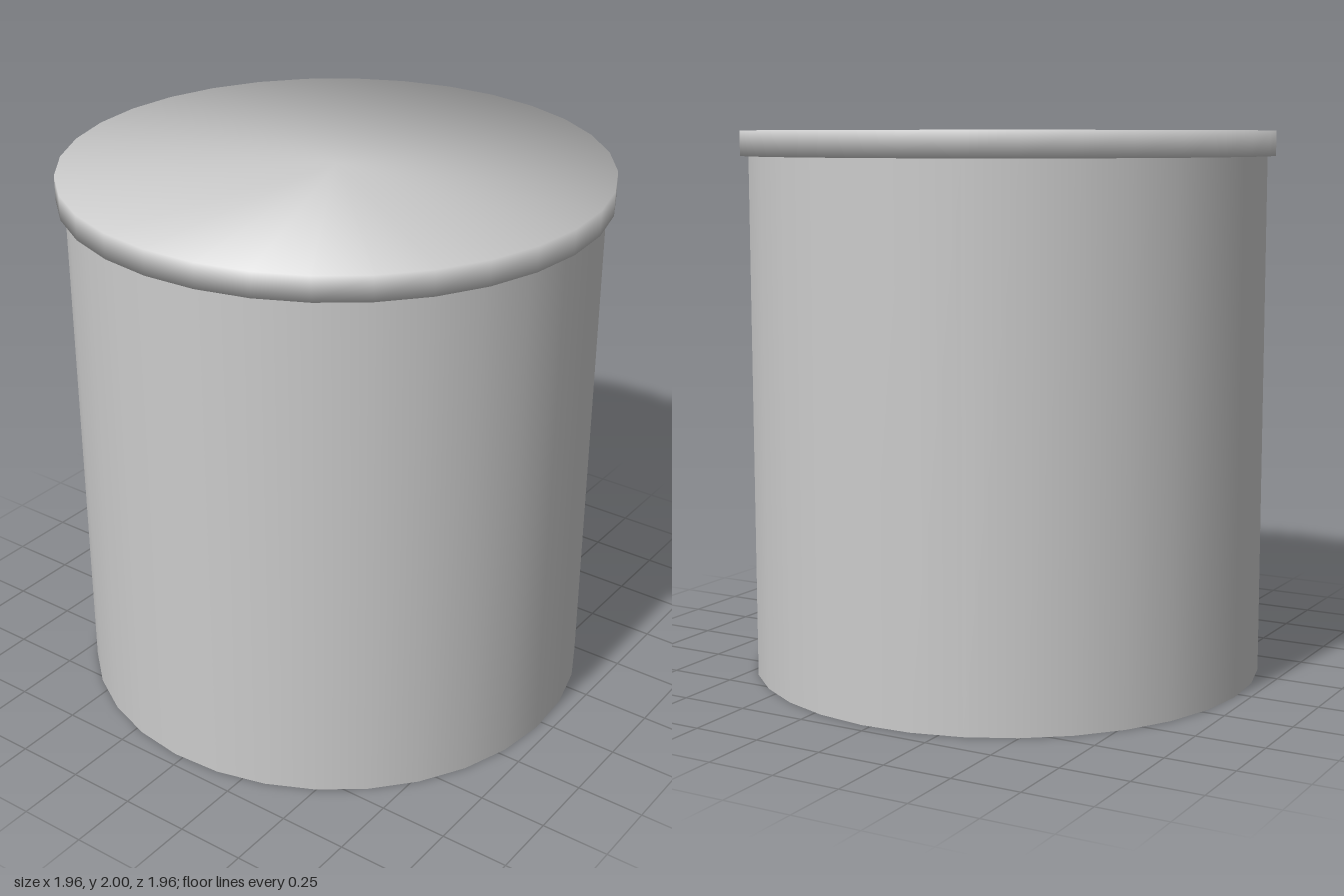
import * as THREE from 'three';

const SIDES = 32;
const LID_BASE = 1.91;
const TOP = 2;

// Cylinder standing between two heights
function cylinder(radius, y0, y1) {
  return new THREE.CylinderGeometry(radius, radius, y1 - y0, SIDES);
}

// Blend the cap and wall normals at the rims, so the edges shade softly
function softenRims(geometry) {
  const pos = geometry.attributes.position;
  const normal = geometry.attributes.normal;
  const n = new THREE.Vector3();
  for (let i = 0; i < pos.count; i++) {
    n.set(pos.getX(i), 0, pos.getZ(i)).normalize();
    n.y = Math.sign(pos.getY(i));
    n.normalize();
    normal.setXYZ(i, n.x, n.y, n.z);
  }
  return geometry;
}

export function createModel() {
  const model = new THREE.Group();
  model.name = 'liddedCanister';
  const material = new THREE.MeshStandardMaterial({ color: 0xcccccc });

  const add = (name, geometry, y0, y1) => {
    const mesh = new THREE.Mesh(geometry, material);
    mesh.name = name;
    mesh.position.y = (y0 + y1) / 2;
    model.add(mesh);
  };

  // Straight body with crisp ends
  add('body', cylinder(0.95, 0, LID_BASE), 0, LID_BASE);

  // Thin overhanging lid with soft shaded edges
  add('lid', softenRims(cylinder(0.98, LID_BASE, TOP)), LID_BASE, TOP);

  // Slight turn of the facets
  model.children.forEach((part) => { part.rotation.y = -0.037; });
  return model;
}
